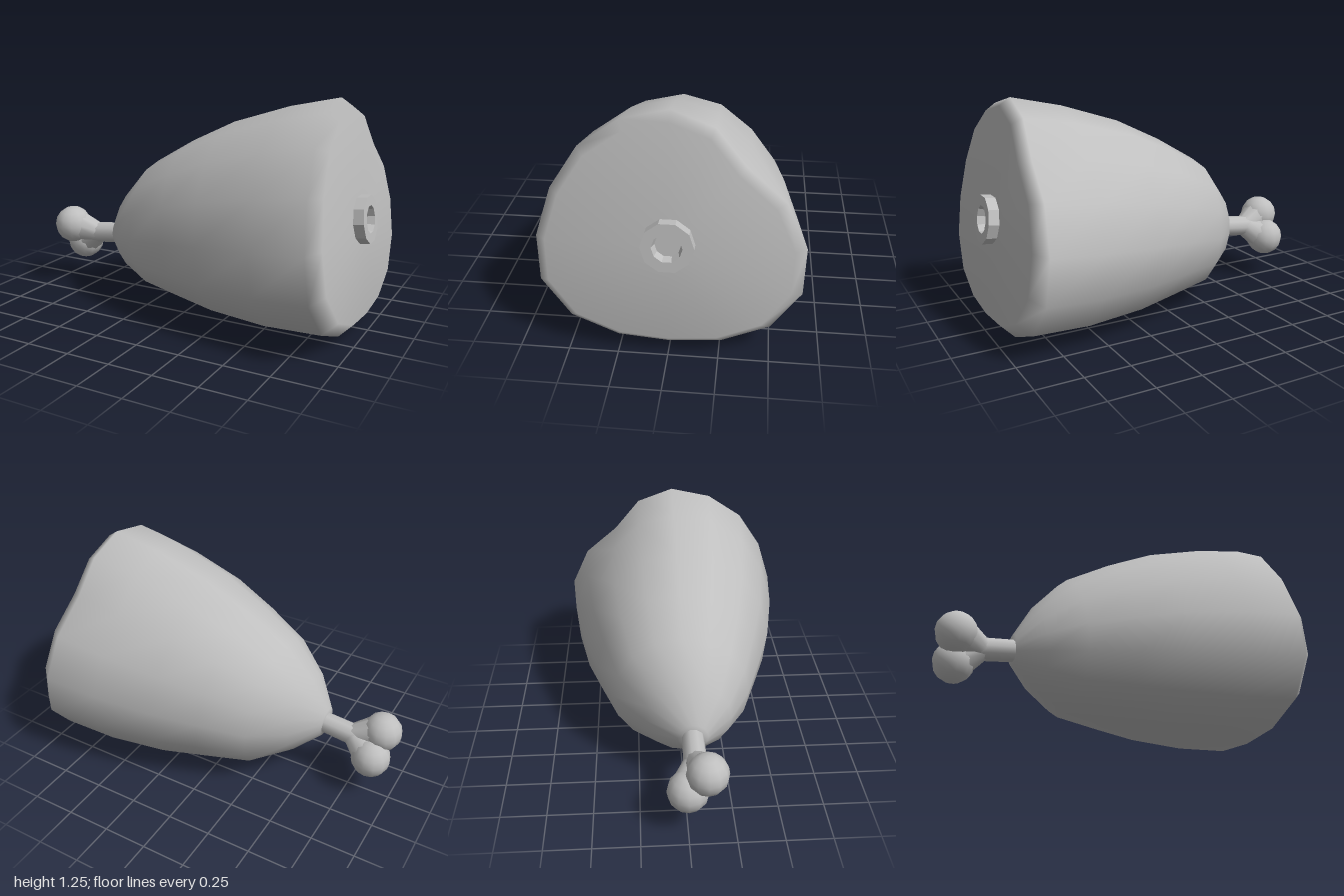
import * as THREE from 'three';

const grey = new THREE.MeshStandardMaterial({ color: 0xbfbfbf });
grey.name = 'plain grey';

function add(group, name, geometry) {
  const mesh = new THREE.Mesh(geometry, grey);
  mesh.name = name;
  group.add(mesh);
  return mesh;
}

// Half outline of the wide end, top to bottom: [half width, height], both normalised
const OUTLINE = [[0, 1], [0.36, 0.955], [0.667, 0.84], [0.879, 0.663], [1, 0.454],
  [0.985, 0.257], [0.758, 0.097], [0.394, 0.017], [0, 0]];
// Same outline where the back is dented, indexed by distance from the top
const DENT = { 1: [0.318, 0.935], 2: [0.545, 0.783], 3: [0.841, 0.643] };

// Rings: top x, top y, bottom x, bottom y, half width, z centre, roundness, dent
const RINGS = [
  [-0.575, 0.44, -0.56, 0.27, 0.085, 0.045, 1, 0],
  [-0.47, 0.63, -0.42, 0.15, 0.24, 0.03, 0.9, 0],
  [-0.31, 0.82, -0.23, 0.06, 0.385, 0, 0.7, 0.05],
  [-0.07, 0.96, 0.03, 0.03, 0.48, 0, 0.5, 0.15],
  [0.19, 1.085, 0.27, 0.008, 0.565, 0, 0.3, 0.35],
  [0.52, 1.19, 0.6, 0.005, 0.63, 0, 0.1, 0.65],
  [0.8, 1.25, 0.92, 0.03, 0.66, 0, 0, 1],
  [0.86, 1.21, 0.99, 0.1, 0.6, 0, 0, 1],
];

function meatGeometry() {
  const N = 16, pos = [], idx = [];
  const lerp = THREE.MathUtils.lerp;
  for (const [tx, ty, bx, by, w, zc, round, dent] of RINGS) {
    for (let j = 0; j < N; j++) {
      const k = j <= 8 ? j : N - j, side = j <= 8 ? 1 : -1;
      let [u, v] = OUTLINE[k];
      if (side < 0 && DENT[k]) {
        u = lerp(u, DENT[k][0], dent);
        v = lerp(v, DENT[k][1], dent);
      }
      const a = k * Math.PI / 8;
      u = lerp(u, Math.sin(a), round) * side;
      v = lerp(v, 0.5 + 0.5 * Math.cos(a), round);
      pos.push(lerp(bx, tx, v), lerp(by, ty, v), zc + u * w);
    }
  }
  const last = (RINGS.length - 1) * N, tip = RINGS.length * N, face = tip + 1;
  pos.push(-0.568, 0.355, 0.045, 0.932, 0.6, 0);
  for (let j = 0; j < N; j++) {
    const n = (j + 1) % N;
    for (let i = 0; i < last; i += N) {
      idx.push(i + j, i + n, i + N + j, i + n, i + N + n, i + N + j);
    }
    idx.push(tip, n, j, face, last + j, last + n);
  }
  const g = new THREE.BufferGeometry();
  g.setAttribute('position', new THREE.Float32BufferAttribute(pos, 3));
  g.setIndex(idx);
  g.computeVertexNormals();
  return g;
}

// Tapered round bar between two points
function bar(group, name, from, to, r0, r1) {
  const a = new THREE.Vector3(...from), b = new THREE.Vector3(...to);
  const dir = b.clone().sub(a);
  const mesh = add(group, name, new THREE.CylinderGeometry(r1, r0, dir.length(), 10));
  mesh.position.copy(a).add(b).multiplyScalar(0.5);
  mesh.quaternion.setFromUnitVectors(new THREE.Vector3(0, 1, 0), dir.normalize());
}

export function createModel() {
  const model = new THREE.Group();
  model.name = 'hamOnBone';

  add(model, 'meat', meatGeometry());

  // Shaft flaring into two knuckles
  const bone = new THREE.Group();
  bone.name = 'bone';
  model.add(bone);
  const neck = [-0.73, 0.332, 0.046];
  bar(bone, 'boneShaft', [-0.53, 0.355, 0.045], [-0.77, 0.327, 0.046], 0.06, 0.063);
  for (const [name, x, y, z] of [['upperKnuckle', -0.888, 0.378, 0.097], ['lowerKnuckle', -0.868, 0.252, 0.0]]) {
    const knob = add(bone, name, new THREE.SphereGeometry(0.112, 12, 8));
    knob.position.set(x, y, z);
    bar(bone, name + 'Flare', neck, [x, y, z], 0.058, 0.104);
  }

  // Cut bone end on the wide face: a stub with a recessed middle
  const profile = [[0.13, -0.03], [0.13, 0.06], [0.075, 0.06], [0.064, 0.015], [0, 0.015]]
    .map(([r, h]) => new THREE.Vector2(r, h));
  const stub = new THREE.LatheGeometry(profile, 10).toNonIndexed();
  stub.computeVertexNormals();
  const end = add(model, 'cutBoneEnd', stub);
  end.position.set(0.926, 0.617, 0);
  end.quaternion.setFromUnitVectors(new THREE.Vector3(0, 1, 0), new THREE.Vector3(0.993, 0.116, 0).normalize());

  return model;
}
